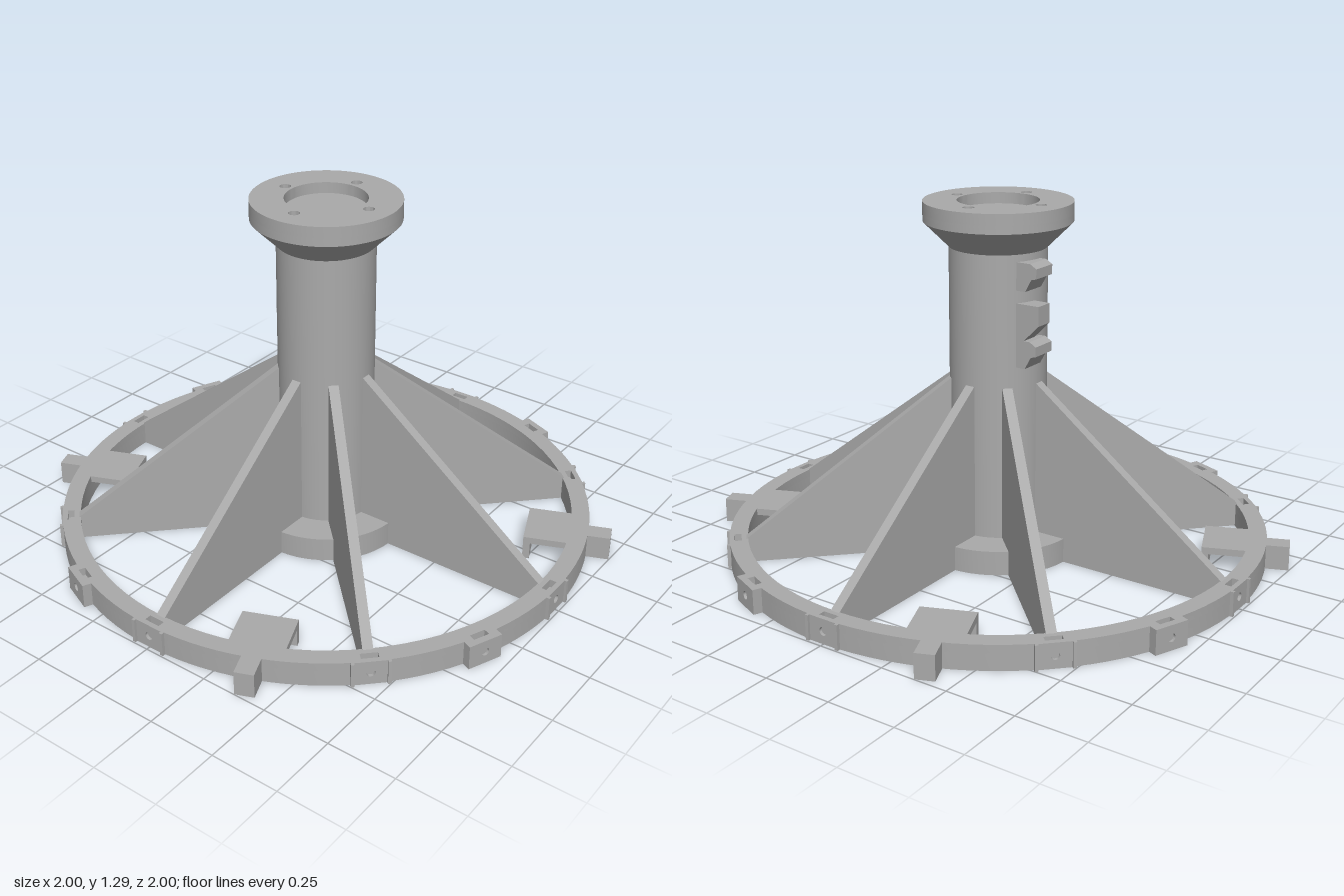
import * as THREE from 'three';
import { toCreasedNormals } from 'three/addons/utils/BufferGeometryUtils.js';

const STEP = Math.PI / 8;
const grey = new THREE.MeshStandardMaterial({ color: 0xaaaaaa });
grey.name = 'grey';

function add(parent, name, geo) {
  const m = new THREE.Mesh(toCreasedNormals(geo, 0.5), grey);
  m.name = name;
  parent.add(m);
  return m;
}

// extrude a plan shape (x, z) downwards from the given top
function slab(shape, top, height) {
  return new THREE.ExtrudeGeometry(shape, { depth: height, bevelEnabled: false, curveSegments: 48 })
    .rotateX(Math.PI / 2).translate(0, top, 0);
}

// box given by its limits
function box(x0, x1, y0, y1, z0, z1) {
  return new THREE.BoxGeometry(x1 - x0, y1 - y0, z1 - z0)
    .translate((x0 + x1) / 2, (y0 + y1) / 2, (z0 + z1) / 2);
}

function circle(x, y, r) {
  return new THREE.Path().absarc(x, y, r, 0, Math.PI * 2, true);
}

function poly(points) {
  return new THREE.Shape(points.map(p => new THREE.Vector2(...p)));
}

// radius and tangential offset at an angle, to plan coordinates
function polar(a, r, t = 0) {
  return new THREE.Vector2(r * Math.cos(a) - t * Math.sin(a), r * Math.sin(a) + t * Math.cos(a));
}

// thin outward-facing plate with a bolt hole
function boltPlate(halfWidth, r0, r1) {
  const s = poly([[-halfWidth, 0], [halfWidth, 0], [halfWidth, 0.09], [-halfWidth, 0.09]]);
  s.holes.push(circle(0, 0.045, 0.015));
  return new THREE.ExtrudeGeometry(s, { depth: r1 - r0, bevelEnabled: false, curveSegments: 8 })
    .rotateY(Math.PI / 2).translate(r0, 0, 0);
}

// rim outline with flats for the bolt plates
function rimShape(withSlots) {
  const pts = [], slots = [];
  for (let k = 0; k < 16; k++) {
    const a = k * STEP;
    if (k % 2 === 0) pts.push(polar(a, 0.975, -0.06), polar(a, 0.975, 0.06));
    else if (k % 4 === 1) {
      for (const [r, t] of [[0.983, -0.065], [1.005, -0.065], [1.005, 0.065], [0.983, 0.065]]) pts.push(polar(a, r, t));
    } else pts.push(polar(a, 0.985));
    for (let j = 0; j <= 5; j++) pts.push(polar(a + 0.068 + (STEP - 0.136) * j / 5, 0.985));
    if (k % 4 !== 3) {
      const r = k % 2 ? 0.978 : 0.955;
      slots.push(new THREE.Path([[-1, -1], [-1, 1], [1, 1], [1, -1]]
        .map(([u, v]) => polar(a, r + u * 0.0125, v * 0.03))));
    }
  }
  const s = new THREE.Shape(pts);
  s.holes.push(circle(0, 0, 0.92));
  if (withSlots) s.holes.push(...slots);
  return s;
}

export function createModel() {
  const model = new THREE.Group();
  model.name = 'ribbedStand';

  // base disc, column and flared head
  add(model, 'column', new THREE.LatheGeometry([
    [0, 0], [0.298, 0], [0.298, 0.09], [0.175, 0.09], [0.175, 1.13],
    [0.265, 1.22], [0.265, 1.25], [0, 1.25],
  ].map(p => new THREE.Vector2(...p)), 96));

  // head plate with central recess and four bolt holes
  const head = new THREE.Shape().absarc(0, 0, 0.265, 0, Math.PI * 2);
  head.holes.push(circle(0, 0, 0.145));
  for (let i = 0; i < 4; i++) {
    const c = polar(i * Math.PI / 2, 0.178);
    head.holes.push(circle(c.x, c.y, 0.02));
  }
  add(model, 'headPlate', slab(head, 1.29, 0.04));

  // rim, with slots sunk in its upper half
  add(model, 'rimLower', slab(rimShape(false), 0.06, 0.06));
  add(model, 'rimUpper', slab(rimShape(true), 0.09, 0.03));

  for (let k = 0; k < 16; k++) {
    const spoke = new THREE.Group();
    spoke.rotation.y = -k * STEP;
    model.add(spoke);
    if (k % 2 === 0) {
      // triangular rib and its rim joint
      spoke.name = 'ribSpoke';
      add(spoke, 'rib', new THREE.ExtrudeGeometry(
        poly([[0.16, 0], [0.925, 0], [0.925, 0.09], [0.175, 0.655], [0.16, 0.655]]),
        { depth: 0.036, bevelEnabled: false }).translate(0, 0, -0.018));
      add(spoke, 'boltPlate', boltPlate(0.06, 0.975, 0.986));
      for (const s of [-1, 1]) {
        add(spoke, 'jointEdge', box(0.96, 0.995, 0, 0.09, s * 0.061 - 0.006, s * 0.061 + 0.006));
      }
    } else if (k % 4 === 1) {
      spoke.name = 'boltPad';
      add(spoke, 'boltPlate', boltPlate(0.065, 1.005, 1.015));
    } else {
      // bracket: top plate, hanging inner lip and outer lug
      spoke.name = 'bracket';
      add(spoke, 'bracketPlate', box(0.76, 0.945, 0.065, 0.09, -0.098, 0.098));
      add(spoke, 'bracketLip', box(0.76, 0.785, 0, 0.07, -0.098, 0.098));
      add(spoke, 'outerLug', box(0.95, 1.067, 0, 0.09, -0.034, 0.034));
    }
  }

  // cable hooks on the side of the column
  const hook = [[-0.13, 0], [-0.13, 0.1], [-0.2, 0.1], [-0.225, 0.085], [-0.225, 0.05], [-0.205, 0.045], [-0.18, 0]];
  const middle = [[-0.13, 0], [-0.13, 0.13], [-0.235, 0.13], [-0.235, 0.06], [-0.175, 0]];
  for (const [profile, y, z, depth] of [[hook, 1.005, -0.1, 0.1], [middle, 0.83, -0.1, 0.07], [hook, 0.73, -0.1, 0.1]]) {
    add(model, 'cableHook', new THREE.ExtrudeGeometry(poly(profile), { depth, bevelEnabled: false }).translate(0, y, z));
  }
  return model;
}
